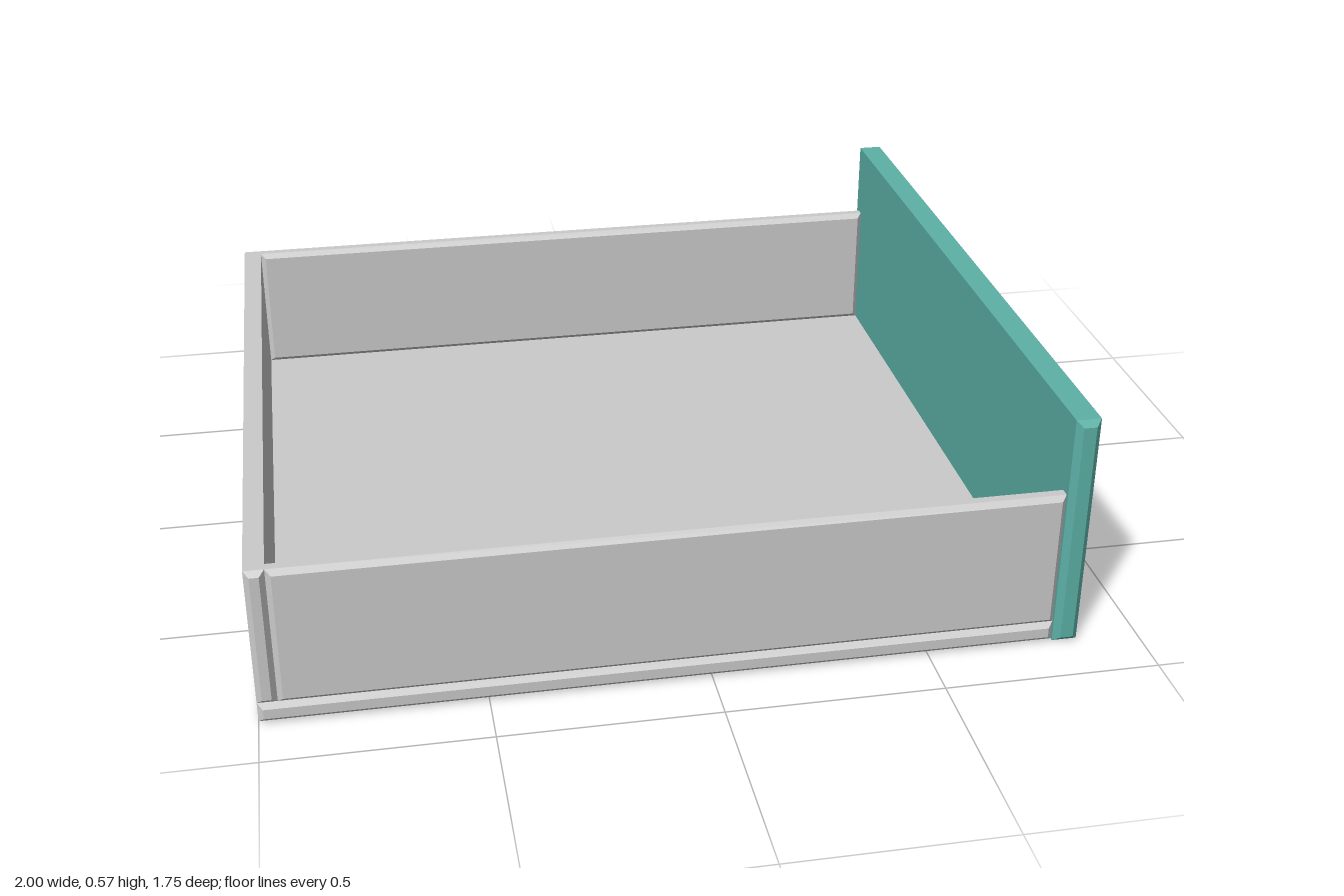
import * as THREE from 'three';

const grey = new THREE.MeshStandardMaterial({ color: 0xcacaca });
grey.name = 'light grey';
const teal = new THREE.MeshStandardMaterial({ color: 0x5cb0a6 });
teal.name = 'teal';
const steel = new THREE.MeshStandardMaterial({ color: 0x9a989c });
steel.name = 'handle grey';

// Board with chamfered edges, given by its min and max on each axis
function board(name, material, [x0, x1], [y0, y1], [z0, z1], c = 0.012) {
  const w = (x1 - x0) / 2 - c, h = (y1 - y0) / 2 - c, d = z1 - z0 - 2 * c;
  const shape = new THREE.Shape([[-w, -h], [w, -h], [w, h], [-w, h]].map(p => new THREE.Vector2(...p)));
  const geo = new THREE.ExtrudeGeometry(shape, {
    depth: d, bevelEnabled: true, bevelSegments: 1, bevelSize: c, bevelThickness: c,
  });
  geo.translate((x0 + x1) / 2, (y0 + y1) / 2, z0 + c);
  const mesh = new THREE.Mesh(geo, material);
  mesh.name = name;
  return mesh;
}

// Bowed handle: chamfered rectangles lofted along z, taller where it bows out
function handleGeometry() {
  const y = 0.292, t = 0.02, chamfer = 0.009, bow = 0.55, end = 0.654, segments = 12;
  const ring = (z, x, h, inset = 0) => {
    const a = t - inset, b = h - inset, c = chamfer;
    return [[a, -b + c], [a, b - c], [a - c, b], [-a + c, b], [-a, b - c], [-a, -b + c], [-a + c, -b], [a - c, -b]]
      .map(([px, py]) => [x + px, y + py, z]);
  };
  const foot = 0.878, low = 0.047, rings = [];
  rings.push(ring(-end, foot, low, 0.009), ring(-end + 0.01, foot, low));
  for (let i = 0; i <= segments; i++) {
    const u = -1 + (2 * i) / segments, k = 1 - u * u;
    rings.push(ring(u * bow, foot + 0.102 * k, low + 0.017 * k));
  }
  rings.push(ring(end - 0.01, foot, low), ring(end, foot, low, 0.009));

  const pos = [];
  const tri = (a, b, c) => pos.push(...a, ...b, ...c);
  for (let i = 0; i < rings.length - 1; i++) {
    for (let j = 0; j < 8; j++) {
      const k = (j + 1) % 8, p = rings[i], q = rings[i + 1];
      tri(p[j], p[k], q[k]);
      tri(p[j], q[k], q[j]);
    }
  }
  // End caps
  const first = rings[0], last = rings[rings.length - 1];
  for (let j = 1; j < 7; j++) {
    tri(first[0], first[j + 1], first[j]);
    tri(last[0], last[j], last[j + 1]);
  }
  const geo = new THREE.BufferGeometry();
  geo.setAttribute('position', new THREE.Float32BufferAttribute(pos, 3));
  geo.computeVertexNormals();
  return geo;
}

export function createModel() {
  const drawer = new THREE.Group();
  drawer.name = 'drawer';
  const wallY = [0.053, 0.387], sideX = [-0.955, 0.795], boxZ = [-0.847, 0.874];

  drawer.add(
    board('bottomBoard', grey, [-1, 0.795], [0.005, 0.053], boxZ),
    board('backWall', grey, [-1, -0.955], wallY, boxZ),
    board('leftWall', grey, sideX, wallY, [0.829, 0.874]),
    board('rightWall', grey, sideX, wallY, [-0.847, -0.803]),
    board('frontPanel', teal, [0.798, 0.856], [0, 0.573], [-0.877, 0.877], 0.014),
  );

  const handle = new THREE.Mesh(handleGeometry(), steel);
  handle.name = 'handle';
  drawer.add(handle);
  return drawer;
}
